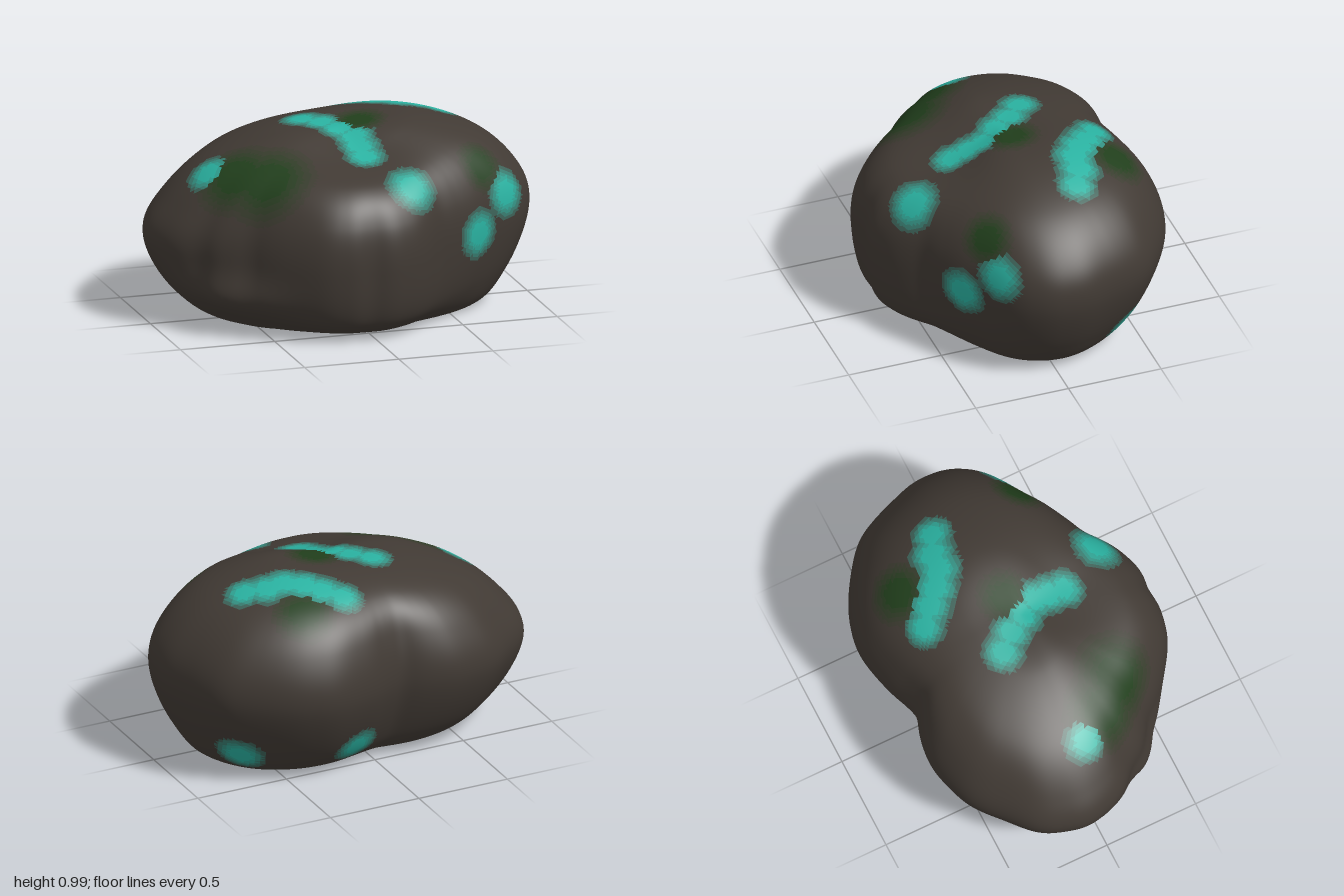
import * as THREE from 'three';
import { mergeVertices } from 'three/addons/utils/BufferGeometryUtils.js';

// Plan outline of the boulder at its widest (x, z)
const outline = [
  [-1, -0.1], [-0.93, -0.33], [-0.78, -0.47], [-0.63, -0.6], [-0.5, -0.65], [-0.37, -0.68],
  [-0.2, -0.66], [-0.1, -0.62], [0, -0.65], [0.17, -0.71], [0.35, -0.74], [0.52, -0.7],
  [0.7, -0.6], [0.85, -0.48], [0.95, -0.25], [1, -0.1], [0.99, 0.08], [0.91, 0.22],
  [0.7, 0.36], [0.5, 0.49], [0.36, 0.55], [0.23, 0.67], [0.07, 0.73], [-0.05, 0.71],
  [-0.12, 0.73], [-0.28, 0.7], [-0.42, 0.61], [-0.6, 0.42], [-0.77, 0.3], [-0.8, 0.23],
  [-0.91, 0.15], [-0.97, 0.03],
].map(([x, z]) => ({ a: Math.atan2(z, x), r: Math.hypot(x, z) })).sort((p, q) => p.a - q.a);

// Upright profiles, bottom to top: (share of the plan radius, height)
const profile = (points) => new THREE.CatmullRomCurve3(
  [[0, 0], ...points, [0, 0.95]].map(([r, y]) => new THREE.Vector3(r, y, 0)), false, 'catmullrom', 0.5);
const profiles = {
  left: profile([[0.37, 0], [0.74, 0], [0.9, 0.18], [1, 0.48], [0.95, 0.7], [0.75, 0.88], [0.4, 0.965]]),
  right: profile([[0.33, 0], [0.66, 0], [0.88, 0.16], [1, 0.42], [0.91, 0.62], [0.7, 0.81], [0.35, 0.94]]),
  front: profile([[0.3, 0], [0.63, 0], [0.92, 0.09], [1, 0.36], [0.97, 0.61], [0.79, 0.775], [0.4, 0.86]]),
  back: profile([[0.28, 0], [0.55, 0], [0.81, 0.14], [1, 0.45], [0.92, 0.73], [0.72, 0.89], [0.36, 0.96]]),
};

const turn = (v) => (v + 4 * Math.PI) % (2 * Math.PI);
const bump = (distance, width) => Math.exp(-((distance / width) ** 2));

function outlineRadius(angle) {
  const n = outline.length;
  const i = Math.max(0, outline.findIndex((p) => p.a > angle));
  const q = outline[i], p = outline[(i + n - 1) % n];
  return THREE.MathUtils.lerp(p.r, q.r, turn(angle - p.a) / turn(q.a - p.a));
}

// Outline averaged over a spread of angles
function planRadius(angle, spread) {
  let sum = 0;
  for (let k = -4; k <= 4; k++) sum += outlineRadius(turn(angle + (k / 4) * spread + Math.PI) - Math.PI);
  return sum / 9;
}

// Moves a point of the unit sphere onto the boulder
function shapePoint(d) {
  const u = Math.asin(THREE.MathUtils.clamp(d.y, -1, 1)) / Math.PI + 0.5;
  const angle = Math.atan2(d.z, d.x);
  const c = Math.cos(angle), s = Math.sin(angle);
  const side = (c > 0 ? profiles.left : profiles.right).getPoint(u);
  const end = (s > 0 ? profiles.front : profiles.back).getPoint(u);
  const p = side.lerp(end, s * s);

  // The lobes are sharpest around the middle and fade towards top and base
  const lobes = 1 - d.y * d.y;
  let r = p.x * THREE.MathUtils.lerp(planRadius(angle, 0.4), planRadius(angle, 0.06), lobes * lobes);
  // Low bulge at the front right corner
  r *= 1 + 0.12 * bump(angle - 2.65, 0.35) * bump(p.y - 0.18, 0.13);
  const x = r * c, z = r * s;
  // Crown of the higher lobe
  const crown = d.y > 0 ? 0.03 * d.y * bump(Math.hypot(x - 0.37, z + 0.2), 0.35) : 0;
  return new THREE.Vector3(x, Math.max(0, p.y) + crown, z);
}

// Patches: x, y, z, radius
const crystalSpots = [
  [-0.15, 0.95, -0.15, 0.1], [-0.07, 0.95, -0.07, 0.1], [0, 0.94, 0.02, 0.1],
  [0.04, 0.92, 0.12, 0.1], [0.05, 0.9, 0.2, 0.1], [0.06, 0.87, 0.28, 0.1],
  [0.2, 0.73, 0.52, 0.13], [0.15, 0.97, -0.46, 0.1], [0.23, 0.98, -0.39, 0.11],
  [0.3, 0.98, -0.32, 0.11], [0.38, 0.98, -0.26, 0.11], [0.48, 0.96, -0.24, 0.11],
  [0.58, 0.93, -0.19, 0.1], [-0.7, 0.78, 0.02, 0.11], [0.77, 0.61, 0.27, 0.12],
  [0.61, 0.45, 0.41, 0.12], [0.75, 0.12, -0.45, 0.12], [0.16, 0.2, -0.51, 0.11],
  [0.07, 0, -0.25, 0.08], [-0.22, 0, -0.26, 0.08], [-0.38, 0, 0.18, 0.07],
];
const mossSpots = [
  [-0.6, 0.8, 0.18, 0.2], [-0.48, 0.8, 0.32, 0.22], [0.4, 0.95, -0.53, 0.15],
  [0.1, 0.94, -0.03, 0.13], [0.63, 0.75, 0.28, 0.13],
];
const ROCK = 0x413a34, CRYSTAL = 0x2ab3a2, MOSS = 0x213f1c, STEPS = 5;

export function createModel() {
  const group = new THREE.Group();
  group.name = 'boulder';

  let geometry = new THREE.IcosahedronGeometry(1, 39);
  geometry.deleteAttribute('uv');
  geometry.deleteAttribute('normal');
  geometry = mergeVertices(geometry, 1e-4);
  const pos = geometry.attributes.position;
  const points = [];
  for (let i = 0; i < pos.count; i++) {
    const p = shapePoint(new THREE.Vector3().fromBufferAttribute(pos, i));
    points.push(p);
    pos.setXYZ(i, p.x, p.y, p.z);
  }
  geometry.computeVertexNormals();

  // Seat each patch on the nearest point of the surface
  const seat = (spots) => spots.map(([x, y, z, radius]) => {
    const at = new THREE.Vector3(x, y, z);
    const centre = points.reduce((a, b) => (b.distanceToSquared(at) < a.distanceToSquared(at) ? b : a));
    return { centre, radius };
  });
  const crystals = seat(crystalSpots), moss = seat(mossSpots);
  // Strength of a patch in steps, from 0 outside to STEPS at its heart
  const strength = (p, spots) => {
    const nearest = Math.min(...spots.map((s) => p.distanceTo(s.centre) / s.radius));
    return Math.min(STEPS, Math.ceil(Math.max(0, 1.15 - nearest) * STEPS * 1.3));
  };

  // Sort the faces into rock and bands of crystal and moss
  const parts = {};
  const index = geometry.index.array;
  for (let i = 0; i < index.length; i += 3) {
    const face = [index[i], index[i + 1], index[i + 2]];
    const mid = new THREE.Vector3();
    face.forEach((v) => mid.addScaledVector(points[v], 1 / 3));
    const c = strength(mid, crystals), m = strength(mid, moss);
    const [name, tint, step] = c > 0 && c >= m ? ['crystalBand' + c, CRYSTAL, c]
      : m > 0 ? ['mossBand' + m, MOSS, m] : ['rock', ROCK, 0];
    parts[name] ??= { color: new THREE.Color(ROCK).lerp(new THREE.Color(tint), step / STEPS), faces: [] };
    parts[name].faces.push(...face);
  }

  // All parts share one set of smooth normals
  for (const [name, { color, faces }] of Object.entries(parts)) {
    const part = new THREE.BufferGeometry();
    part.setAttribute('position', pos);
    part.setAttribute('normal', geometry.attributes.normal);
    part.setIndex(faces);
    const mesh = new THREE.Mesh(part, new THREE.MeshStandardMaterial({ color }));
    mesh.name = name;
    group.add(mesh);
  }
  return group;
}
